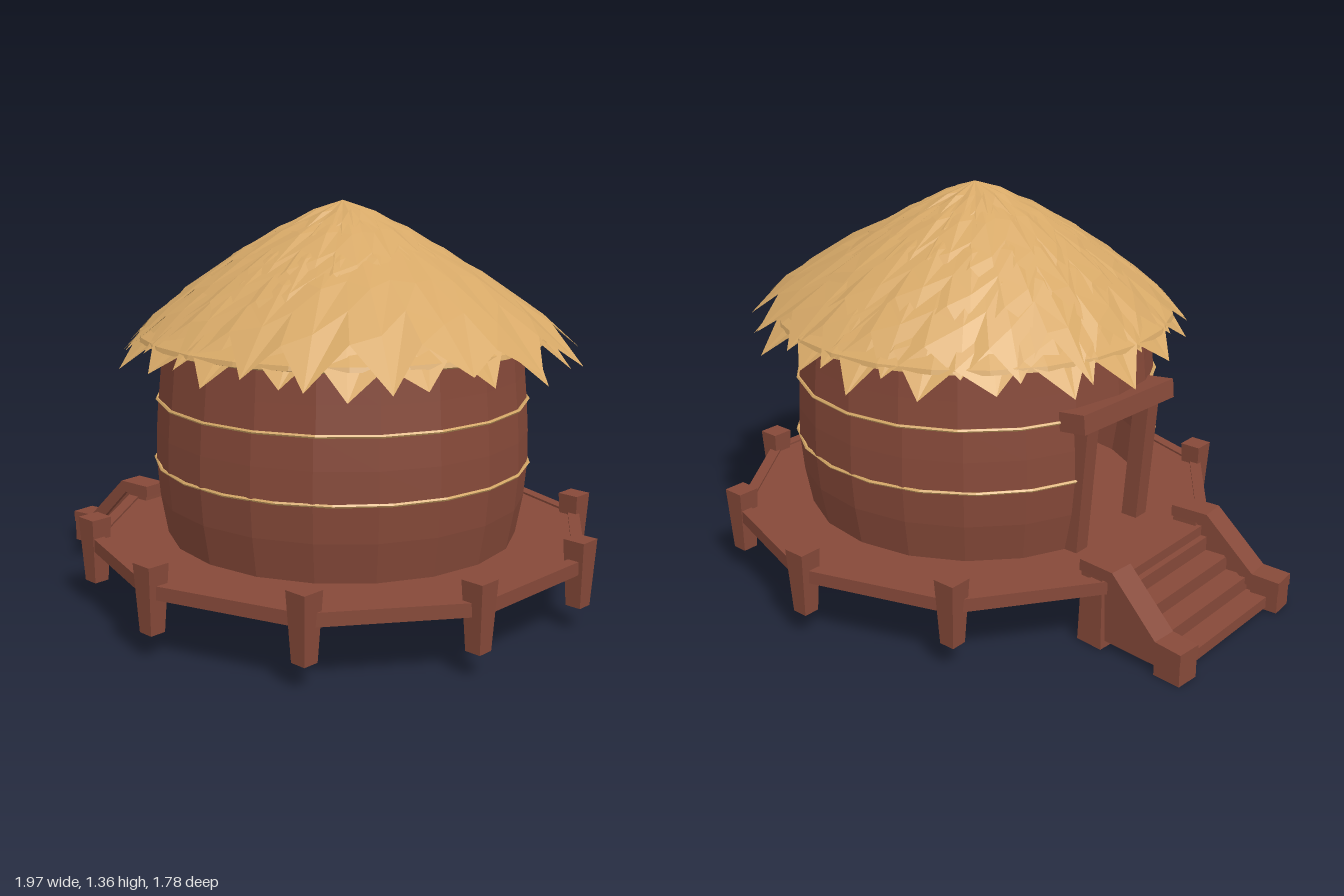
import * as THREE from 'three';

const wood = new THREE.MeshStandardMaterial({ color: 0x864939, side: THREE.DoubleSide, flatShading: true });
wood.name = 'reddish wood';
const straw = new THREE.MeshStandardMaterial({ color: 0xd6a867, side: THREE.DoubleSide, flatShading: true });
straw.name = 'straw';

const CX = 0.12; // hut axis
const DECK_R = 0.86;

let seed = 7;
const rand = () => ((seed = (seed * 16807) % 2147483647) / 2147483647) - 0.5;

function add(parent, name, geometry, material, x = 0, y = 0, z = 0) {
  const mesh = new THREE.Mesh(geometry, material);
  mesh.name = name;
  mesh.position.set(x, y, z);
  parent.add(mesh);
  return mesh;
}

// Square post, wider at the top
function taperedPost(top, bottom, height) {
  const g = new THREE.CylinderGeometry(top * Math.SQRT1_2, bottom * Math.SQRT1_2, height, 4);
  return g.rotateY(Math.PI / 4);
}

function extrude(points, depth) {
  const shape = new THREE.Shape(points.map(([x, y]) => new THREE.Vector2(x, y)));
  return new THREE.ExtrudeGeometry(shape, { depth, bevelEnabled: false }).translate(0, 0, -depth / 2);
}

function lathe(points, segments, start = 0, length = Math.PI * 2) {
  return new THREE.LatheGeometry(points.map(([r, y]) => new THREE.Vector2(r, y)), segments, start, length);
}

const roofHeight = (r) => 1.335 - 0.37 * r - 0.32 * r * r;

// One layer of thatch: a folded cone with a zigzag hem, swept out on the +x side
function thatchLayer(tips, startR, valleyR, tipR, lift, sweep) {
  const pos = [], index = [], cols = tips * 2, rows = 4;
  for (let i = 0; i < cols; i++) {
    const isTip = i % 2 === 0;
    const a = (i / cols) * Math.PI * 2 + (isTip ? rand() * 0.07 : 0);
    const side = Math.max(0, Math.cos(a)) ** 2;
    const end = (isTip ? tipR : valleyR) + rand() * 0.05 + side * sweep;
    for (let j = 0; j < rows; j++) {
      const t = j / (rows - 1);
      const r = startR + (end - startR) * t;
      const fold = isTip ? 0.012 * Math.sin(t * Math.PI) - 0.025 * t * t : 0;
      const y = roofHeight(r) + lift + fold + side * sweep * 0.9 * (r / 0.85) ** 2;
      pos.push(Math.cos(a) * r, y, -Math.sin(a) * r);
    }
  }
  for (let i = 0; i < cols; i++) {
    for (let j = 0; j < rows - 1; j++) {
      const a = i * rows + j, b = ((i + 1) % cols) * rows + j;
      index.push(a, a + 1, b, b, a + 1, b + 1);
    }
  }
  const g = new THREE.BufferGeometry();
  g.setAttribute('position', new THREE.Float32BufferAttribute(pos, 3));
  g.setIndex(index);
  const flat = g.toNonIndexed();
  flat.computeVertexNormals();
  return flat;
}

function buildDeck(parent) {
  const deck = new THREE.Group();
  deck.name = 'deck';
  deck.position.x = CX;
  parent.add(deck);
  add(deck, 'deckFloor', new THREE.CylinderGeometry(DECK_R, DECK_R, 0.035, 10), wood, 0, 0.218, 0);
  for (let k = 0; k < 10; k++) {
    const a = (k * Math.PI) / 5, mid = a + Math.PI / 10;
    // Edge beams, left open at the stairs
    if (k !== 7) {
      const r = DECK_R * Math.cos(Math.PI / 10) - 0.01;
      const beam = add(deck, 'edgeBeam', new THREE.BoxGeometry(0.53, 0.045, 0.04), wood, Math.sin(mid) * r, 0.22, Math.cos(mid) * r);
      beam.rotation.y = mid;
    }
    // Corner posts
    if (k !== 7 && k !== 8) {
      add(deck, 'cornerPost', taperedPost(0.078, 0.055, 0.225), wood, Math.sin(a) * 0.85, 0.195, Math.cos(a) * 0.85);
    }
  }
  // Inner feet below the floor
  for (const [x, z] of [[0.45, 0], [-0.34, 0], [0, 0.35], [0, -0.35]]) {
    add(deck, 'innerFoot', taperedPost(0.075, 0.06, 0.11), wood, x, 0.155, z);
  }
}

function buildHut(parent) {
  const hut = new THREE.Group();
  hut.name = 'hut';
  hut.position.x = CX;
  parent.add(hut);
  // Barrel wall with a doorway towards -x
  const d = 0.28;
  const lower = [[0.6, 0.23], [0.625, 0.37], [0.636, 0.5], [0.633, 0.6], [0.626, 0.705]];
  const upper = [[0.626, 0.705], [0.617, 0.8], [0.607, 0.92]];
  add(hut, 'lowerWall', lathe(lower, 18, -Math.PI / 2 + d, Math.PI * 2 - 2 * d), wood);
  add(hut, 'upperWall', lathe(upper, 20), wood);
  // Straw bands
  const band = (r, gap) => new THREE.TorusGeometry(r, 0.006, 5, 20, Math.PI * 2 - 2 * gap)
    .rotateZ(-Math.PI + gap).rotateX(Math.PI / 2);
  add(hut, 'lowerBand', band(0.638, d), straw, 0, 0.495, 0);
  add(hut, 'upperBand', band(0.63, 0), straw, 0, 0.708, 0);
  // Door frame
  for (const s of [-1, 1]) {
    const jamb = add(hut, 'doorJamb', new THREE.BoxGeometry(0.06, 0.47, 0.06), wood, -0.598, 0.46, s * 0.17);
    jamb.rotation.z = 0.08;
  }
  const lintel = add(hut, 'doorLintel', new THREE.BoxGeometry(0.1, 0.065, 0.5), wood, -0.62, 0.708, 0);
  lintel.rotation.z = -0.12;
  lintel.rotation.x = 0.04;
}

function buildRoof(parent) {
  const roof = new THREE.Group();
  roof.name = 'roof';
  roof.position.x = CX;
  parent.add(roof);
  const core = [[0.58, 0.915], [0.66, 0.905], [0.69, 0.915], [0.685, 0.93], [0.52, 1.04], [0.32, 1.17], [0, 1.32]];
  add(roof, 'roofCore', lathe(core, 24), straw);
  // start radius, valley radius, tip radius, lift, sweep
  const layers = [
    [20, 0.3, 0.665, 0.755, 0.0, 0.01],
    [20, 0.3, 0.62, 0.72, 0.012, 0.11],
    [18, 0.2, 0.51, 0.6, 0.02, 0.02],
    [16, 0.1, 0.38, 0.47, 0.026, 0],
    [14, 0, 0.22, 0.31, 0.028, 0],
  ];
  layers.forEach((l, i) => {
    const layer = add(roof, 'thatchLayer', thatchLayer(...l), straw);
    // The swept layer keeps its longest tip pointing along +x
    layer.rotation.y = i === 1 ? 0 : i * 0.37 + 0.157;
  });
}

function buildStairs(parent) {
  const stairs = new THREE.Group();
  stairs.name = 'stairs';
  parent.add(stairs);
  // Solid flight with a sloping underside
  const steps = [[-0.96, 0.01], [-0.96, 0.05], [-0.88, 0.05], [-0.88, 0.1], [-0.8, 0.1], [-0.8, 0.15],
    [-0.72, 0.15], [-0.72, 0.2], [-0.6, 0.2], [-0.6, 0.17], [-0.66, 0.17], [-0.92, 0.01]];
  add(stairs, 'steps', extrude(steps, 0.52), wood);
  // Stringers with a thick handrail cap and end posts
  const side = [[-0.16, 0.025], [-0.16, 0.09], [-0.1, 0.09], [0.09, 0.27], [0.2, 0.27], [0.2, 0.025]];
  const cap = [[-0.2, 0.075], [-0.2, 0.115], [-0.1, 0.12], [0.08, 0.29], [0.215, 0.29], [0.215, 0.25], [0.1, 0.25], [-0.08, 0.075]];
  for (const s of [-1, 1]) {
    const stringer = new THREE.Group();
    stringer.name = 'stringer';
    stringer.position.set(-0.8, 0, s * 0.275);
    stringer.rotation.y = s * 0.08;
    stairs.add(stringer);
    add(stringer, 'sidePanel', extrude(side, 0.06), wood);
    add(stringer, 'handrail', extrude(cap, 0.09), wood);
    add(stringer, 'frontPost', new THREE.BoxGeometry(0.1, 0.11, 0.085), wood, -0.147, 0.055, 0);
    add(stringer, 'backPost', taperedPost(0.085, 0.1, 0.27), wood, 0.165, 0.135, 0);
  }
}

export function createModel() {
  const model = new THREE.Group();
  model.name = 'thatchedHut';
  buildDeck(model);
  buildHut(model);
  buildRoof(model);
  buildStairs(model);
  return model;
}
